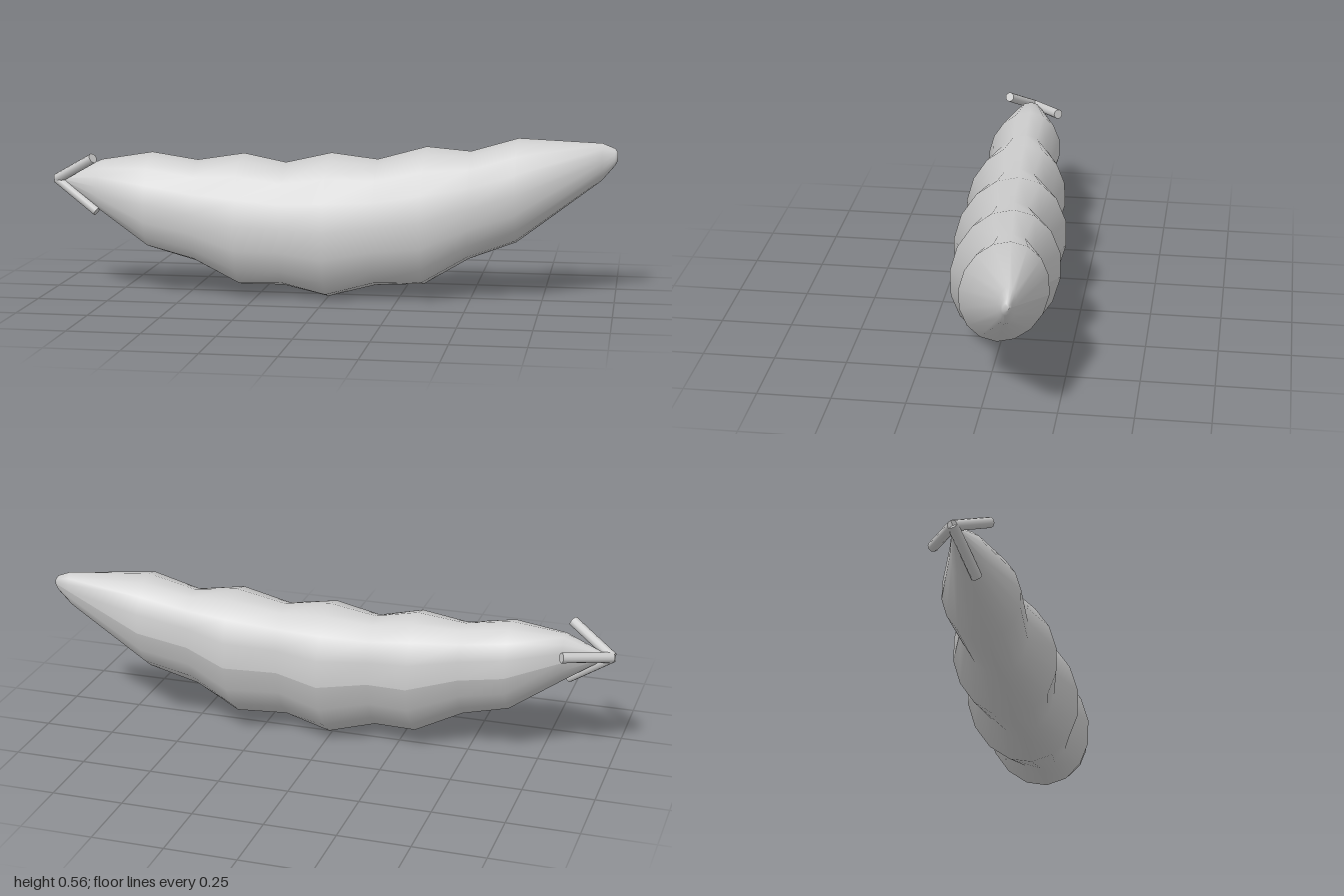
import * as THREE from 'three';

// Pod cross-sections: x, top y, bottom y, back z, front z
const RINGS = [
  [-0.96, 0.41, 0.39, 0.03, 0.05],
  [-0.82, 0.472, 0.29, -0.02, 0.107],
  [-0.64, 0.5, 0.165, -0.1, 0.17],
  [-0.475, 0.475, 0.12, -0.083, 0.15],
  [-0.31, 0.5, 0.04, -0.157, 0.207],
  [-0.16, 0.47, 0.04, -0.12, 0.16],
  [0.0, 0.505, 0.002, -0.195, 0.207],
  [0.165, 0.485, 0.045, -0.14, 0.14],
  [0.335, 0.53, 0.05, -0.212, 0.167],
  [0.49, 0.515, 0.14, -0.16, 0.075],
  [0.655, 0.562, 0.2, -0.21, 0.087],
  [0.945, 0.546, 0.415, -0.14, -0.08],
  [0.99, 0.528, 0.468, -0.132, -0.098],
  [1.0, 0.515, 0.485, -0.125, -0.105],
];
const SIDES = 16;
const SHEAR = 0.13;

// Skin over leaning elliptical rings; the seam runs along the back
function podGeometry() {
  const pos = [], idx = [];
  for (const [x, top, bottom, back, front] of RINGS) {
    const cy = (top + bottom) / 2, ry = (top - bottom) / 2;
    const cz = (back + front) / 2, rz = (front - back) / 2;
    for (let j = 0; j <= SIDES; j++) {
      const a = (j / SIDES) * Math.PI * 2;
      const dy = ry * Math.sin(a);
      pos.push(x, cy + dy, cz - rz * Math.cos(a) - SHEAR * dy);
    }
  }
  const row = SIDES + 1;
  for (let i = 0; i < RINGS.length - 1; i++) {
    for (let j = 0; j < SIDES; j++) {
      const a = i * row + j, b = a + row;
      idx.push(a, a + 1, b, b, a + 1, b + 1);
    }
  }
  // End caps
  const last = (RINGS.length - 1) * row;
  for (let j = 1; j < SIDES - 1; j++) {
    idx.push(0, j + 1, j, last, last + j, last + j + 1);
  }
  // Faces are wound outward: up (+y) then along (+x) must be flipped at the back
  const g = new THREE.BufferGeometry();
  g.setAttribute('position', new THREE.Float32BufferAttribute(pos, 3));
  g.setIndex(idx);
  g.computeVertexNormals();
  return g;
}

// Straight rod between two points
function rod(from, to, radius, material) {
  const dir = to.clone().sub(from);
  const mesh = new THREE.Mesh(new THREE.CylinderGeometry(radius, radius, dir.length(), 10), material);
  mesh.position.copy(from).addScaledVector(dir, 0.5);
  mesh.quaternion.setFromUnitVectors(new THREE.Vector3(0, 1, 0), dir.normalize());
  return mesh;
}

export function createModel() {
  const group = new THREE.Group();
  group.name = 'peaPod';
  const grey = new THREE.MeshStandardMaterial({ color: 0xcccccc });
  grey.name = 'lightGrey';
  grey.side = THREE.DoubleSide;

  const pod = new THREE.Mesh(podGeometry(), grey);
  pod.name = 'pod';
  group.add(pod);

  // Three sepals spread back over the stem end
  const sepals = new THREE.Group();
  sepals.name = 'sepals';
  const tip = new THREE.Vector3(-0.985, 0.4, 0.04);
  for (let i = 0; i < 3; i++) {
    const a = THREE.MathUtils.degToRad(48 + i * 120);
    const end = new THREE.Vector3(-0.83, 0.4 + 0.115 * Math.sin(a), 0.04 + 0.115 * Math.cos(a));
    const sepal = rod(tip, end, 0.018, grey);
    sepal.name = 'sepal' + (i + 1);
    sepals.add(sepal);
  }
  group.add(sepals);
  return group;
}
